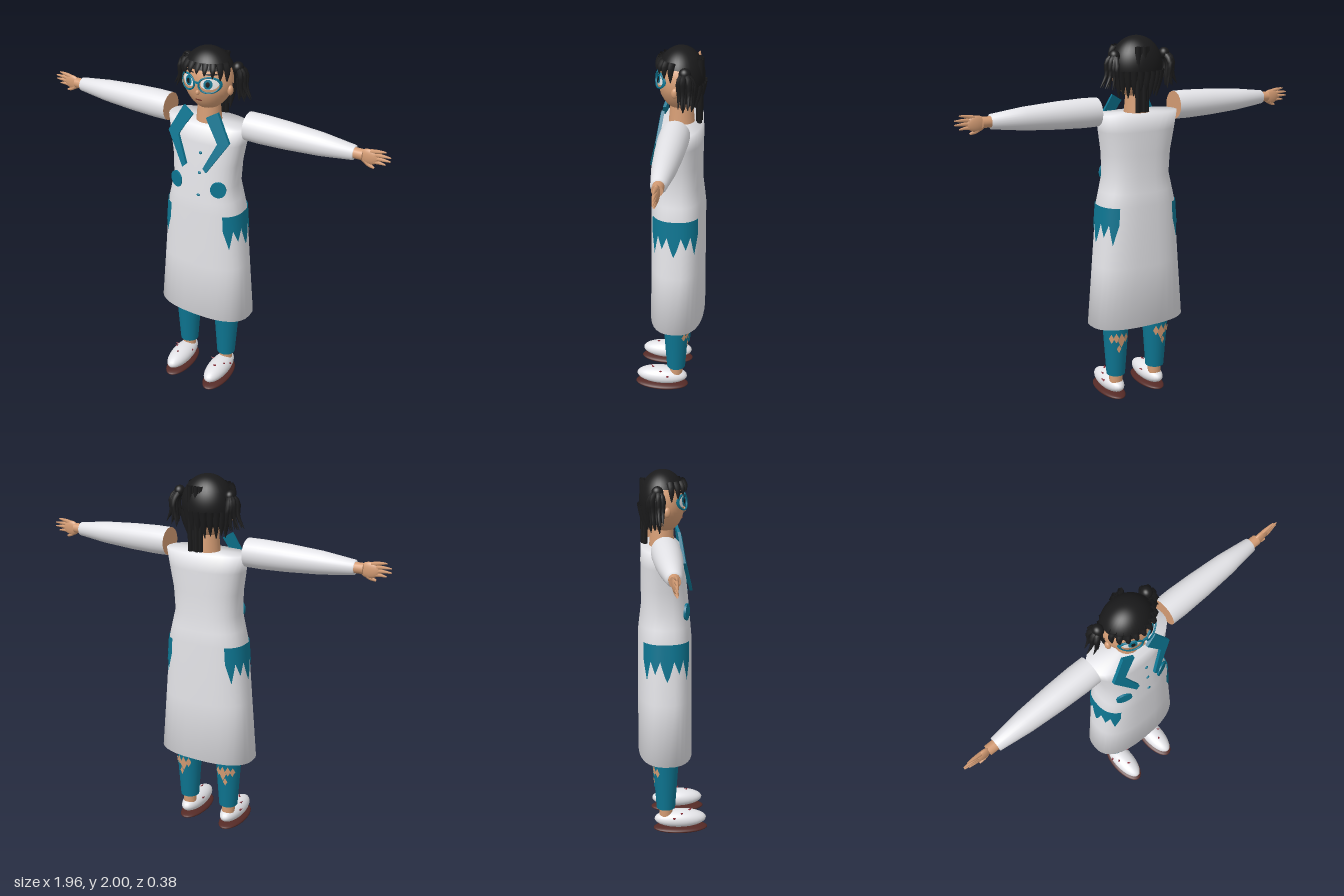
import * as THREE from 'three';

const mat = (name, color, double) => {
  const m = new THREE.MeshStandardMaterial({ color });
  m.name = name;
  if (double) m.side = THREE.DoubleSide;
  return m;
};

export function createModel() {
  const root = new THREE.Group();
  root.name = 'figure';
  const white = mat('coatWhite', 0xe6e6ea);
  const teal = mat('teal', 0x0d7591, true);
  const skin = mat('skin', 0xd49c74, true);
  const hair = mat('hairBlack', 0x1a1a1b, true);
  const sole = mat('soleBrown', 0x552a26);
  const red = mat('ornamentRed', 0x8e2f3a);
  const eyeWhite = mat('eyeWhite', 0xf6f6f6, true);
  const lips = mat('lips', 0x8a4636, true);

  const add = (name, geo, m, x = 0, y = 0, z = 0) => {
    const mesh = new THREE.Mesh(geo, m);
    mesh.name = name;
    mesh.position.set(x, y, z);
    root.add(mesh);
    return mesh;
  };
  const ball = (name, m, x, y, z, rx, ry, rz) =>
    add(name, new THREE.SphereGeometry(1, 28, 18).scale(rx, ry, rz), m, x, y, z);
  const V = (p) => new THREE.Vector3(...p);

  // Tube along a curve whose radius shrinks towards its end
  const lock = (name, m, pts, r, end = 0.1) => {
    const path = new THREE.CatmullRomCurve3(pts.map(V)), n = 8, sides = 6;
    const g = new THREE.TubeGeometry(path, n, r, sides), p = g.attributes.position, v = new THREE.Vector3();
    for (let i = 0; i < p.count; i++) {
      const u = Math.floor(i / (sides + 1)) / n;
      v.fromBufferAttribute(p, i).lerp(path.getPointAt(u), (1 - end) * u * u);
      p.setXYZ(i, v.x, v.y, v.z);
    }
    return add(name, g, m);
  };

  // Coat: rings of height, half width, front z, back z
  const rings = [[0.46, 0.275, 0.105, -0.19], [0.8, 0.245, 0.103, -0.188], [1.13, 0.217, 0.1, -0.186],
    [1.2, 0.201, 0.094, -0.178], [1.28, 0.183, 0.087, -0.168], [1.4, 0.19, 0.075, -0.167],
    [1.52, 0.212, 0.062, -0.168], [1.61, 0.228, 0.05, -0.165]];
  const soft = (v) => Math.sign(v) * Math.abs(v) ** 0.8;
  const coatPoint = (y, t, off = 0) => {
    let i = 0;
    while (i < rings.length - 2 && y > rings[i + 1][0]) i++;
    const a = rings[i], b = rings[i + 1], k = (y - a[0]) / (b[0] - a[0]);
    const [, rx, f, r] = a.map((c, j) => c + (b[j] - c) * k);
    return [(rx + off) * soft(Math.cos(t)), y, (f + r) / 2 + ((f - r) / 2 + off) * soft(Math.sin(t))];
  };
  const N = 32, pos = [], idx = [];
  for (const [y] of rings) for (let j = 0; j < N; j++) pos.push(...coatPoint(y, (j / N) * Math.PI * 2));
  const top = rings.length - 1, c0 = rings.length * N;
  pos.push(0, 0.46, -0.04, 0, 1.61, -0.05);
  for (let j = 0; j < N; j++) {
    const k = (j + 1) % N;
    for (let i = 0; i < top; i++) {
      const a = i * N + j, b = i * N + k;
      idx.push(a, a + N, b, b, a + N, b + N);
    }
    idx.push(c0, j, k, c0 + 1, top * N + k, top * N + j);
  }
  const surface = (p, ind) => {
    const g = new THREE.BufferGeometry();
    g.setAttribute('position', new THREE.Float32BufferAttribute(p, 3));
    g.setIndex(ind);
    g.computeVertexNormals();
    return g;
  };
  add('coat', surface(pos, idx), white);

  // Ragged pockets wrapped around the hips
  const pocket = (s) => {
    const p = [], ind = [], cols = 40, teeth = 5;
    for (let i = 0; i <= cols; i++) {
      const u = i / cols, t = (u - 0.5) * 1.74, f = Math.abs(((u * teeth) % 1) - 0.5) * 2;
      const tip = 0.93 + 0.04 * (Math.floor(u * teeth) % 2);
      const low = tip + (1.04 - tip) * f;
      for (const y of [1.132, low]) {
        const [x, yy, z] = coatPoint(Math.min(y, 1.13), t, 0.005);
        p.push(s * x, yy, z);
      }
      if (i < cols) {
        const a = i * 2;
        ind.push(...(s > 0 ? [a, a + 1, a + 2, a + 2, a + 1, a + 3] : [a, a + 2, a + 1, a + 2, a + 3, a + 1]));
      }
    }
    // front faces outward on both hips
    for (let i = 0; i < ind.length; i += 3) [ind[i + 1], ind[i + 2]] = [ind[i + 2], ind[i + 1]];
    add('pocket', surface(p, ind), teal);
  };

  // Buttons down the front
  for (const y of [1.47, 1.36, 1.235]) {
    const b = coatPoint(y, Math.PI / 2);
    ball('button', teal, 0.02, y, b[2], 0.009, 0.008, 0.006);
  }

  // Neck and head with a narrowed chin
  add('neck', new THREE.CylinderGeometry(0.055, 0.068, 0.14, 24), skin, 0, 1.665, -0.055);
  const head = new THREE.SphereGeometry(1, 36, 28).scale(0.13, 0.15, 0.112);
  const hp = head.attributes.position;
  for (let i = 0; i < hp.count; i++) {
    const d = Math.max(0, -hp.getY(i) / 0.15 - 0.2);
    hp.setX(i, hp.getX(i) * (1 - 0.22 * d));
  }
  head.computeVertexNormals();
  add('head', head, skin, 0, 1.825, -0.05);

  // Face details laid over the curve of the face
  const faceZ = (x, y) => -0.05 + 0.112 * Math.sqrt(Math.max(0.05, 1 - (x / 0.13) ** 2 - ((y - 1.825) / 0.15) ** 2));
  const onFace = (name, geo, m, x, y, off) => {
    geo.translate(x, y, 0);
    const p = geo.attributes.position;
    for (let i = 0; i < p.count; i++) p.setZ(i, p.getZ(i) + faceZ(p.getX(i), p.getY(i)) + off);
    geo.computeVertexNormals();
    add(name, geo, m);
  };
  const disc = (rx, ry) => new THREE.RingGeometry(0.001, 1, 24, 3).scale(rx, ry, 1);
  onFace('mouth', disc(0.02, 0.005), lips, 0, 1.752, 0.003);
  ball('nose', skin, 0, 1.795, 0.06, 0.01, 0.014, 0.012);
  onFace('glassesBridge', new THREE.BoxGeometry(0.022, 0.008, 0.008), teal, 0, 1.85, 0.01);

  // Hair shell: crown, back of the head, nape fringe and hanging tail
  const shell = (name, ...arc) => add(name,
    new THREE.SphereGeometry(1, 32, 14, ...arc).scale(0.14, 0.155, 0.122), hair, 0, 1.845, -0.05);
  shell('hairCrown', 0, Math.PI * 2, 0, 1.12);
  shell('hairBack', Math.PI + 0.08, Math.PI - 0.16, 1.05, 1.2);
  for (let i = 0; i < 11; i++) {
    const a = Math.PI * (1.08 + 0.084 * i), x = Math.cos(a), z = Math.sin(a);
    lock('napeLock', hair, [[x * 0.13, 1.83, -0.05 + z * 0.115], [x * 0.122, 1.76, -0.05 + z * 0.105],
      [x * 0.115, 1.69 + 0.012 * (i % 2), -0.05 + z * 0.09]], 0.02);
  }
  for (let i = 0; i < 4; i++) {
    const x = -0.008 + i * 0.018, z = -0.143 - 0.008 * (i % 2);
    lock('backTail', hair, [[x, 1.95, z], [x, 1.78, z], [x, 1.62, z]], 0.015, 0.85);
  }
  for (let i = 0; i < 9; i++) {
    const a = Math.PI * (0.1 + 0.1 * i), x = Math.cos(a), z = Math.sin(a);
    lock('fringeLock', hair, [[x * 0.115, 1.945, -0.05 + z * 0.1], [x * 0.13, 1.915, -0.05 + z * 0.118],
      [x * 0.13, 1.895 - 0.05 * x * x, -0.05 + z * 0.122]], 0.018);
  }

  for (const s of [1, -1]) {
    // Eyes and glasses
    onFace('eye', disc(0.042, 0.028), eyeWhite, s * 0.059, 1.845, 0.003);
    onFace('iris', disc(0.021, 0.025), teal, s * 0.055, 1.845, 0.005);
    onFace('pupil', disc(0.01, 0.014), hair, s * 0.055, 1.845, 0.007);
    onFace('glassesRim', new THREE.TorusGeometry(0.049, 0.005, 8, 32).scale(1, 0.8, 1), teal, s * 0.061, 1.842, 0.012);
    onFace('eyebrow', disc(0.034, 0.004), hair, s * 0.06, 1.892, 0.004);
    ball('ear', skin, s * 0.132, 1.8, -0.035, 0.014, 0.026, 0.018);

    // Side tails
    ball('hairTie', hair, s * 0.145, 1.905, -0.085, 0.028, 0.03, 0.03);
    for (let i = 0; i < 8; i++) {
      const u = i / 7, z = -0.13 + 0.07 * ((i * 3) % 8) / 7;
      lock('sideTailLock', hair, [[s * 0.14, 1.915, -0.085], [s * (0.155 + 0.025 * u), 1.86 + 0.02 * u, z],
        [s * (0.148 + 0.04 * u), 1.79 + 0.02 * u, z], [s * (0.14 + 0.082 * u), 1.73 + 0.02 * u, z]], 0.016);
    }

    // Lapel leaning along the chest
    const outline = [[0.1, 1.695], [0.04, 1.66], [0.115, 1.54], [0.05, 1.4], [0.07, 1.38], [0.178, 1.55]];
    const lapel = new THREE.ExtrudeGeometry(
      new THREE.Shape(outline.map(([x, y]) => new THREE.Vector2(s * x, y))), { depth: 0.016, bevelEnabled: false });
    const lp = lapel.attributes.position;
    for (let i = 0; i < lp.count; i++)
      lp.setZ(i, lp.getZ(i) + 0.022 + (1.695 - lp.getY(i)) * 0.2 - 0.1 * (Math.abs(lp.getX(i)) - 0.07));
    lapel.computeVertexNormals();
    add('lapel', lapel, teal);

    // Round waist patch
    const patch = add('waistDisc', new THREE.CylinderGeometry(0.042, 0.042, 0.012, 28).scale(1, 1, 1.07).rotateX(Math.PI / 2),
      teal, s * 0.125, 1.28, 0.066);
    patch.rotation.y = s * 0.35;
    pocket(s);

    // Sleeve with the bare shoulder at its open end
    const profile = [[0.074, 0], [0.075, 0.08], [0.07, 0.22], [0.058, 0.4], [0.037, 0.57], [0, 0.57]];
    const sleeve = add('sleeve', new THREE.LatheGeometry(profile.map(([r, l]) => new THREE.Vector2(r, l)), 28),
      white, s * 0.23, 1.625, -0.05);
    sleeve.rotation.z = -s * Math.PI / 2;
    const shoulder = add('shoulder', new THREE.CircleGeometry(0.074, 28), skin, s * 0.23, 1.625, -0.05);
    shoulder.rotation.y = -s * Math.PI / 2;

    // Hand
    const wrist = add('wrist', new THREE.CylinderGeometry(0.027, 0.027, 0.06, 18), skin, s * 0.815, 1.625, -0.05);
    wrist.rotation.z = Math.PI / 2;
    ball('palm', skin, s * 0.872, 1.622, -0.05, 0.05, 0.04, 0.016);
    [[0.03, 0.042, 0.955], [0.013, 0.02, 0.98], [-0.004, 0, 0.98], [-0.02, -0.022, 0.957]].forEach(([a, b, x]) =>
      lock('finger', skin, [[s * 0.88, 1.622 + a, -0.05], [s * 0.925, 1.625 + (a + b) / 2, -0.049],
        [s * x, 1.622 + b, -0.05]], 0.011, 0.3));
    lock('thumb', skin, [[s * 0.85, 1.605, -0.05], [s * 0.875, 1.585, -0.047], [s * 0.905, 1.573, -0.044]], 0.013, 0.4);

    // Trouser leg with torn holes behind the knee
    const lx = s * 0.125;
    add('trouserLeg', new THREE.CylinderGeometry(0.077, 0.052, 0.36, 24), teal, lx, 0.33, -0.045);
    for (const [a, y, w, h] of [[0, 0.37, 0.022, 0.045], [0.42, 0.385, 0.016, 0.03], [-0.42, 0.38, 0.016, 0.03],
      [0.8, 0.38, 0.016, 0.028], [0.2, 0.32, 0.013, 0.025]]) {
      const r = 0.052 + (y - 0.15) * 0.0694 + 0.003, t = Math.PI - s * a;
      add('tornHole', new THREE.CircleGeometry(1, 4).scale(w, h, 1).rotateX(0.069), skin,
        lx + Math.sin(t) * r, y, -0.045 + Math.cos(t) * r).rotation.y = t;
    }

    // Ankle, shoe and sole
    add('ankle', new THREE.CylinderGeometry(0.037, 0.037, 0.1, 18), skin, lx, 0.12, -0.045);
    ball('shoe', white, lx, 0.077, 0.036, 0.06, 0.05, 0.145);
    ball('sole', sole, lx, 0.02, 0.037, 0.069, 0.02, 0.152);
    for (const [x, y, z, turn] of [[0, 0.124, 0.09, 0.4], [0.035, 0.117, 0.04, -0.7], [0.054, 0.098, 0, -0.9],
      [-0.052, 0.1, 0.01, 0.9]]) {
      const spike = add('shoeSpike', new THREE.ConeGeometry(0.012, 0.034, 4), red, lx + s * x, y, z);
      spike.rotation.set(0.7, 0, s * turn);
    }
  }
  return root;
}
